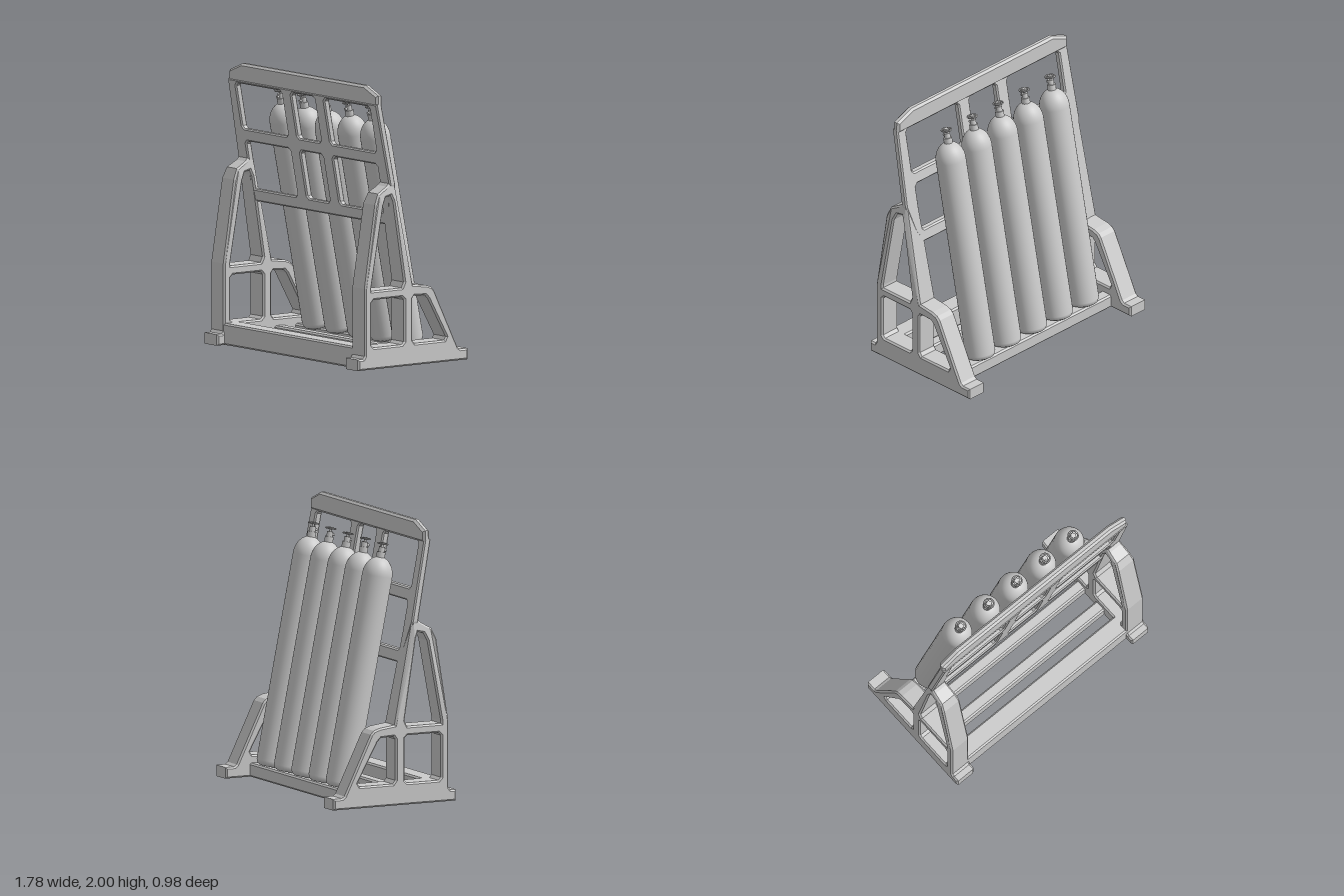
import * as THREE from 'three';

const mat = new THREE.MeshStandardMaterial({ color: 0xcccccc });

function mesh(name, geo, parent) {
  const m = new THREE.Mesh(geo, mat);
  m.name = name;
  parent.add(m);
  return m;
}

// Centred extrusion with small chamfered edges that stay inside the outline
function slab(points, holes, depth, bevel) {
  const toV = (l) => l.map(([a, b]) => new THREE.Vector2(a, b));
  const shape = new THREE.Shape(toV(points));
  holes.forEach((h) => shape.holes.push(new THREE.Path(toV(h))));
  const geo = new THREE.ExtrudeGeometry(shape, {
    depth: depth - 2 * bevel, bevelThickness: bevel, bevelSize: bevel,
    bevelOffset: -bevel, bevelSegments: 1,
  });
  return geo.translate(0, 0, bevel - depth / 2);
}

// Rectangle with clipped corners
function rect(x0, x1, y0, y1, c = 0.02) {
  return [[x0 + c, y0], [x1 - c, y0], [x1, y0 + c], [x1, y1 - c],
    [x1 - c, y1], [x0 + c, y1], [x0, y1 - c], [x0, y0 + c]];
}

// Move vertices by a rule
function warp(geo, rule) {
  const p = geo.attributes.position;
  const v = new THREE.Vector3();
  for (let i = 0; i < p.count; i++) {
    v.fromBufferAttribute(p, i);
    rule(v);
    p.setXYZ(i, v.x, v.y, v.z);
  }
  geo.computeVertexNormals();
  return geo;
}

// Side support in (z, y), narrowing towards its top
function sideFrameGeometry() {
  const outline = [[-0.49, 0], [0.49, 0], [0.49, 0.08], [0.445, 0.08], [0.43, 0.1],
    [0.43, 0.58], [0.335, 1.17], [0.3, 1.245], [0.22, 1.29], [0.2, 1.31], [0.15, 1.31],
    [0.0, 0.575], [-0.12, 0.56], [-0.165, 0.545], [-0.19, 0.52], [-0.4, 0.095],
    [-0.42, 0.08], [-0.49, 0.08]];
  const holes = [
    [[0.37, 0.56], [0.1, 0.56], [0.08, 0.6], [0.172, 1.18], [0.19, 1.225],
      [0.235, 1.215], [0.262, 1.16], [0.37, 0.58]],
    rect(0.08, 0.37, 0.155, 0.495),
    [[0.005, 0.18], [0.005, 0.475], [-0.01, 0.495], [-0.11, 0.49], [-0.135, 0.465],
      [-0.295, 0.18], [-0.28, 0.155], [-0.015, 0.155]],
  ];
  const geo = slab(outline, holes, 0.16, 0.012).rotateY(-Math.PI / 2);
  return warp(geo, (v) => {
    v.x *= 1 - 0.28 * THREE.MathUtils.clamp((v.y - 1.15) / 0.15, 0, 1);
  });
}

function buildPanel(parent) {
  const panel = new THREE.Group();
  panel.name = 'backPanel';
  parent.add(panel);
  // Leaning grid with six windows
  const outline = [[-0.76, 1], [0.76, 1], [0.82, 1.1], [0.875, 1.3], [0.857, 1.88],
    [-0.857, 1.88], [-0.875, 1.3], [-0.82, 1.1]];
  const holes = [rect(-0.135, 0.135, 1.525, 1.855), rect(-0.13, 0.13, 1.09, 1.435)];
  for (const s of [-1, 1]) {
    const span = (a, b) => (s < 0 ? [-b, -a] : [a, b]);
    holes.push(rect(...span(0.245, 0.77), 1.525, 1.855));
    holes.push(rect(...span(0.245, 0.755), 1.09, 1.435));
  }
  mesh('windowGrid', warp(slab(outline, holes, 0.052, 0.01), (v) => {
    v.z += 0.275 + (v.y - 1.85) * 0.19;
  }), panel);
  // Upright top rail with sloping shoulders
  const top = [[-0.857, 1.855], [0.857, 1.855], [0.855, 1.94], [0.71, 2], [-0.71, 2], [-0.855, 1.94]];
  mesh('topRail', slab(top, [], 0.055, 0.016).translate(0, 0, 0.272), panel);
}

// Gas bottle built upright, origin at the centre of its base
function buildBottle() {
  const g = new THREE.Group();
  g.name = 'gasCylinder';
  const r = 0.108;
  const profile = [[0, 0], [0.075, 0], [0.098, 0.012], [r, 0.04], [r, 1.52]];
  for (let i = 1; i <= 8; i++) {
    const a = (i / 8) * 1.3;
    profile.push([r * Math.cos(a), 1.52 + 0.135 * Math.sin(a)]);
  }
  profile.push([0, 1.655]);
  mesh('tank', new THREE.LatheGeometry(profile.map(([a, b]) => new THREE.Vector2(a, b)), 32), g);
  const cyl = (name, rad, h, y) =>
    mesh(name, new THREE.CylinderGeometry(rad, rad, h, 16).translate(0, y, 0), g);
  cyl('neckCollar', 0.031, 0.045, 1.667);
  cyl('valveBody', 0.022, 0.04, 1.705);
  cyl('valveStem', 0.009, 0.045, 1.735);
  cyl('wheelHub', 0.018, 0.014, 1.75);
  // Valve wheel with spokes
  mesh('wheelRim', new THREE.TorusGeometry(0.035, 0.006, 6, 20).rotateX(Math.PI / 2).translate(0, 1.748, 0), g);
  for (let i = 0; i < 3; i++) {
    mesh('wheelSpoke', new THREE.BoxGeometry(0.07, 0.006, 0.008)
      .rotateY((i * Math.PI) / 3).translate(0, 1.748, 0), g);
  }
  // Side outlet
  mesh('valveOutlet', new THREE.CylinderGeometry(0.01, 0.01, 0.035, 10)
    .rotateX(Math.PI / 2).translate(0, 1.705, 0.018), g);
  return g;
}

export function createModel() {
  const root = new THREE.Group();
  root.name = 'cylinderRack';

  // Side supports
  const sideGeo = sideFrameGeometry();
  mesh('leftSideFrame', sideGeo, root).position.x = 0.812;
  mesh('rightSideFrame', sideGeo, root).position.x = -0.812;

  // Floor bars, the front one taller: [z0, z1, height]
  const bars = [[0.285, 0.428, 0.155], [0.1, 0.19, 0.1], [-0.105, -0.02, 0.1], [-0.3, -0.205, 0.1]];
  bars.forEach(([z0, z1, h], i) => {
    const geo = slab(rect(z0, z1, 0, h, 0.012), [], 1.5, 0.004).rotateY(-Math.PI / 2);
    mesh(i ? 'floorBar' : 'frontBar', geo, root);
  });

  buildPanel(root);

  // Row of leaning bottles
  for (let i = -2; i <= 2; i++) {
    const b = buildBottle();
    b.position.set(i * 0.261, 0.1, -0.245);
    b.rotation.x = 0.197;
    root.add(b);
  }
  return root;
}
